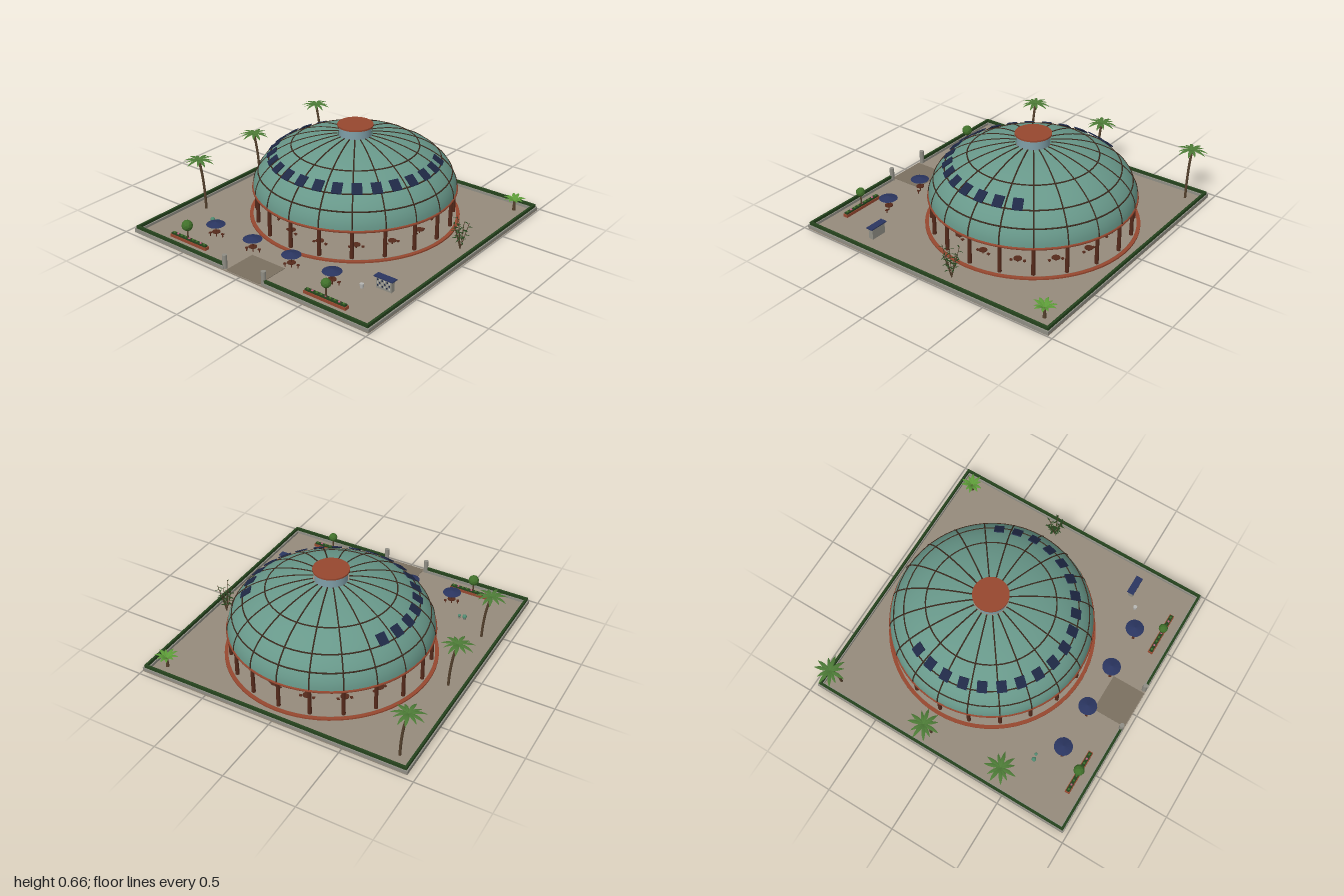
import * as THREE from 'three';

const mats = {};
const mat = (color, flatShading = false) =>
  (mats[color + '_' + flatShading] ??= new THREE.MeshStandardMaterial({ color, flatShading, side: THREE.DoubleSide }));

const C = {
  paving: 0x958a7b, path: 0x7a7060, stone: 0x8f8d84, hedge: 0x24421c, brick: 0x96472f, timber: 0x55291a,
  glass: 0x68988a, rib: 0x3b2a1e, panel: 0x1f2946, blue: 0x2a3560, leaf: 0x4c7a36, lime: 0x5c9a38,
  bush: 0x40702a, trunk: 0x54402c, vent: 0x7f9fa8, white: 0xb5b5b2, pink: 0xc05f80, teal: 0x4f8a70,
};
const CX = 0.025, CZ = -0.165, HALF = 0.97; // dome centre, half side of the plot
const R = 0.69, H = 0.38, BASE = 0.22;      // dome ellipse
const FLOOR = 0.012;

function add(parent, name, geo, color, x = 0, y = 0, z = 0, flat = false) {
  const m = new THREE.Mesh(geo, mat(color, flat));
  m.name = name;
  m.position.set(x, y, z);
  parent.add(m);
  return m;
}
// Box and cylinder placed by their lower and upper heights
const box = (p, name, color, x, z, w, d, y0, y1) =>
  add(p, name, new THREE.BoxGeometry(w, y1 - y0, d), color, x, (y0 + y1) / 2, z);
const cyl = (p, name, color, x, z, r0, r1, y0, y1, n = 16) =>
  add(p, name, new THREE.CylinderGeometry(r1, r0, y1 - y0, n), color, x, (y0 + y1) / 2, z);
function group(parent, name, x = 0, y = 0, z = 0) {
  const g = new THREE.Group();
  g.name = name;
  g.position.set(x, y, z);
  parent.add(g);
  return g;
}
const domeY = (r) => BASE + H * Math.sqrt(Math.max(0, 1 - (r / R) ** 2));
const domePoint = (t, out = 0) => new THREE.Vector2((R + out) * Math.cos(t), BASE + (H + out) * Math.sin(t));

// Tapered blade along +z that rises a little and then droops
function bladeGeometry(length, width, rise, droop) {
  const g = new THREE.PlaneGeometry(1, 1, 2, 6);
  const p = g.attributes.position;
  for (let i = 0; i < p.count; i++) {
    const t = p.getY(i) + 0.5, s = p.getX(i) * 2;
    const w = width * 0.5 * Math.sin(Math.PI * (0.08 + 0.9 * t));
    p.setXYZ(i, s * w, rise * t - droop * t * t - Math.abs(s) * w * 0.4, length * t);
  }
  g.computeVertexNormals();
  return g;
}
function crown(parent, n, color, length, width, rise, droop) {
  const geo = bladeGeometry(length, width, rise, droop);
  for (let i = 0; i < n; i++) {
    const b = add(parent, 'frond', geo, color);
    b.rotation.y = (i / n) * Math.PI * 2 + (i % 2) * 0.12;
    b.scale.setScalar(i % 3 === 1 ? 0.85 : 1);
  }
}
function palm(parent, x, z) {
  const g = group(parent, 'palmTree', x, 0, z);
  const curve = new THREE.CatmullRomCurve3([[0.045, 0], [0.04, 0.12], [0.025, 0.25], [0, 0.365]]
    .map(([a, b]) => new THREE.Vector3(a, b, 0)));
  const geo = new THREE.TubeGeometry(curve, 10, 0.009, 7);
  add(g, 'palmTrunk', geo, C.trunk);
  crown(group(g, 'palmCrown', 0, 0.365, 0), 11, C.leaf, 0.11, 0.026, 0.055, 0.065);
}
function topiary(parent, x, z, y, r) {
  const g = group(parent, 'topiary', x, 0, z);
  cyl(g, 'topiaryTrunk', C.trunk, 0, 0, 0.006, 0.005, FLOOR, y, 7);
  add(g, 'topiaryBall', new THREE.IcosahedronGeometry(r, 1), C.bush, 0, y, 0, true);
}
function table(parent, x, z, angle) {
  const g = group(parent, 'tableSet', x, 0, z);
  g.rotation.y = angle;
  cyl(g, 'tableLeg', C.timber, 0, 0, 0.004, 0.004, FLOOR, 0.046, 6);
  cyl(g, 'tableTop', C.timber, 0, 0, 0.028, 0.028, 0.046, 0.051, 12);
  for (const s of [-1, 1]) {
    box(g, 'stoolLeg', C.timber, s * 0.043, 0, 0.006, 0.006, FLOOR, 0.032);
    box(g, 'stoolSeat', C.timber, s * 0.043, 0, 0.018, 0.018, 0.032, 0.037);
  }
}

function buildGrounds(root) {
  const g = group(root, 'grounds');
  box(g, 'paving', C.paving, CX, 0, HALF * 2, HALF * 2, 0.002, FLOOR);
  box(g, 'entrancePath', C.path, CX, 0.847, 0.275, 0.238, 0, FLOOR + 0.003);
  // Low curb with a hedge on top, open at the entrance
  const wall = (x, z, w, d) => {
    const along = w > d;
    box(g, 'curb', C.stone, x, z, w, d, 0.003, 0.03);
    box(g, 'hedge', C.hedge, x, z, along ? w - 0.02 : 0.016, along ? 0.016 : d - 0.02, 0.03, 0.05);
  };
  for (const s of [-1, 1]) {
    wall(CX + s * (HALF - 0.017), 0, 0.034, HALF * 2);
    wall(CX + s * 0.565, HALF - 0.015, 0.81, 0.03);
    cyl(g, 'gatePost', C.stone, CX + s * 0.162, 0.952, 0.016, 0.016, FLOOR, 0.107);
  }
  wall(CX, -HALF + 0.015, HALF * 2, 0.03);
}

function buildPavilion(root) {
  const g = group(root, 'pavilion', CX, 0, CZ);
  cyl(g, 'floorRing', C.brick, 0, 0, 0.72, 0.72, 0, 0.022, 64);
  cyl(g, 'floor', C.paving, 0, 0, 0.695, 0.695, 0.018, 0.024, 64);

  // Open dome shell
  const profile = [];
  for (let i = 0; i <= 18; i++) profile.push(domePoint((i / 18) * 1.4));
  add(g, 'domeShell', new THREE.LatheGeometry(profile, 60), C.glass);

  // Columns and meridian ribs
  const ribCurve = new THREE.CatmullRomCurve3(profile.map((p) => new THREE.Vector3(0, p.y, p.x)));
  const ribGeo = new THREE.TubeGeometry(ribCurve, 24, 0.005, 5);
  for (let i = 0; i < 20; i++) {
    const a = (i / 20) * Math.PI * 2;
    add(g, 'rib', ribGeo, C.rib).rotation.y = a;
    cyl(g, 'column', C.timber, 0.675 * Math.sin(a), 0.675 * Math.cos(a), 0.014, 0.012, 0.02, BASE, 8);
  }
  // Horizontal rings
  const ring = (name, r, y, tube, color) =>
    (add(g, name, new THREE.TorusGeometry(r, tube, 6, 60), color, 0, y, 0).rotation.x = Math.PI / 2);
  for (const r of [0.655, 0.58, 0.43]) ring('domeRing', r, domeY(r), 0.005, C.rib);
  ring('eavesRing', R, BASE, 0.009, C.brick);

  // Band of roof panels around the front and sides
  const pr = 0.556, tilt = Math.atan((H / R) * (pr / R) / Math.sqrt(1 - (pr / R) ** 2));
  for (let i = -9; i <= 9; i++) {
    const pivot = group(g, 'roofPanel');
    pivot.rotation.y = THREE.MathUtils.degToRad(i * 12.9);
    add(pivot, 'panel', new THREE.BoxGeometry(0.066, 0.008, 0.08), C.panel, 0, domeY(pr) + 0.009, pr + 0.004)
      .rotation.x = tilt;
  }
  // Vent on the crown
  cyl(g, 'vent', C.vent, 0, 0, 0.108, 0.108, 0.58, 0.655, 32);
  cyl(g, 'ventCap', C.brick, 0, 0, 0.121, 0.121, 0.653, 0.664, 40);

  // Seating below the dome and a tree in the middle
  for (const [n, r] of [[14, 0.54], [8, 0.32]])
    for (let i = 0; i < n; i++) {
      const a = ((i + 0.5) / n) * Math.PI * 2;
      table(g, r * Math.sin(a), r * Math.cos(a), a);
    }
  cyl(g, 'treePot', C.brick, 0, 0, 0.035, 0.045, 0.02, 0.05);
  topiary(g, -0.01, 0, 0.155, 0.052);
}

function buildPlanting(root) {
  const g = group(root, 'planting');
  palm(g, -0.88, -0.85);
  palm(g, -0.865, -0.13);
  palm(g, -0.85, 0.44);
  // Low fan plant in the back corner
  const fan = group(g, 'fanPlant', 0.875, 0.075, -0.86);
  cyl(fan, 'fanStem', C.trunk, 0, 0, 0.012, 0.008, -0.065, 0.005, 7);
  crown(fan, 10, C.lime, 0.078, 0.026, 0.1, 0.07);

  // Slender canes with small leaves
  const canes = group(g, 'canes', 0.88, FLOOR, CZ);
  const leaf = bladeGeometry(0.032, 0.009, 0.014, 0.012);
  for (let i = 0; i < 7; i++) {
    const cane = group(canes, 'cane');
    const a = i * 2.4, h = 0.16 + 0.012 * i;
    cane.rotation.set(0.25 * Math.sin(a), 0, 0.27 * Math.cos(a));
    cyl(cane, 'caneStem', C.trunk, 0, 0, 0.003, 0.002, 0, h, 5);
    for (let k = 0; k < 7; k++)
      add(cane, 'caneLeaf', leaf, C.hedge, 0, h * (0.35 + 0.1 * k), 0).rotation.y = k * 2.2 + i;
  }
  // Flower planters with clipped trees
  for (const [x, treeX, r] of [[-0.543, -0.555, 0.038], [0.597, 0.6, 0.032]]) {
    const p = group(g, 'planter', x, 0, 0.86);
    box(p, 'planterBox', C.brick, 0, 0, 0.32, 0.034, 0, 0.032);
    box(p, 'planterGreen', C.hedge, 0, 0, 0.306, 0.024, 0.03, 0.043);
    for (let i = 0; i < 9; i++)
      add(p, 'flower', new THREE.IcosahedronGeometry(0.009, 0), i % 3 === 1 ? C.pink : C.bush,
        -0.136 + i * 0.034, 0.043, 0, true);
    topiary(g, treeX, 0.86, 0.135, r);
  }
  // Two small potted shrubs
  for (const [x, z, r] of [[-0.625, 0.56, 0.016], [-0.588, 0.555, 0.011]]) {
    cyl(g, 'pot', C.stone, x, z, r * 0.6, r * 0.8, FLOOR, 0.03, 10);
    add(g, 'shrub', new THREE.IcosahedronGeometry(r, 1), C.teal, x, 0.035, z, true);
  }
}

function buildTerrace(root) {
  const g = group(root, 'terrace');
  for (const x of [-0.465, -0.14, 0.185, 0.51]) {
    table(g, x, 0.69, 0.4);
    cyl(g, 'umbrellaPole', C.timber, x, 0.69, 0.003, 0.003, FLOOR, 0.12, 6);
    add(g, 'umbrella', new THREE.ConeGeometry(0.064, 0.018, 16, 1, true), C.blue, x, 0.113, 0.69, true);
  }
  // Kiosk with shelves of small goods on the front
  const k = group(g, 'kiosk', 0.795, 0, 0.535);
  box(k, 'kioskBody', C.stone, 0, 0, 0.115, 0.034, FLOOR, 0.088);
  box(k, 'kioskRoof', C.blue, 0, 0, 0.14, 0.05, 0.088, 0.095);
  for (let r = 0; r < 3; r++)
    for (let c = 0; c < 6; c++)
      box(k, 'goods', (r + c) % 2 ? C.white : C.panel, -0.044 + c * 0.0176, 0.018, 0.009, 0.004,
        0.028 + r * 0.02, 0.038 + r * 0.02);
  cyl(g, 'bin', C.white, 0.675, 0.61, 0.012, 0.014, FLOOR, 0.042, 10);
}

export function createModel() {
  const root = new THREE.Group();
  root.name = 'domedPavilion';
  buildGrounds(root);
  buildPavilion(root);
  buildPlanting(root);
  buildTerrace(root);
  return root;
}
